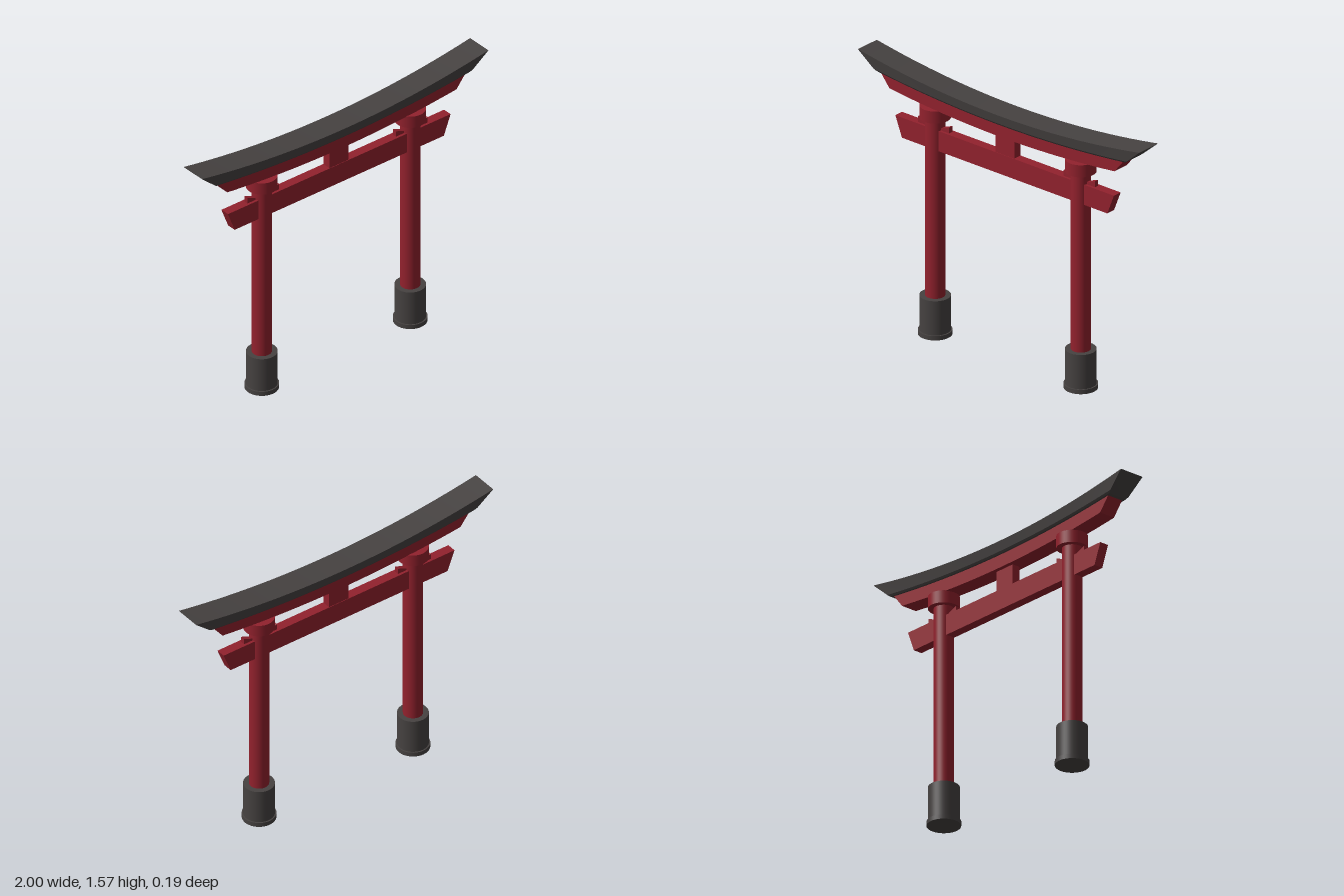
import * as THREE from 'three';
import { toCreasedNormals } from 'three/addons/utils/BufferGeometryUtils.js';

const red = new THREE.MeshStandardMaterial({ color: 0x92212d });
red.name = 'vermilion paint';
const dark = new THREE.MeshStandardMaterial({ color: 0x464241 });
dark.name = 'charcoal paint';

function add(parent, name, geometry, material, x = 0, y = 0, z = 0) {
  const mesh = new THREE.Mesh(geometry, material);
  mesh.name = name;
  mesh.position.set(x, y, z);
  parent.add(mesh);
  return mesh;
}

// Straight prism from an outline in x and y, centred on z = 0
function prism(points, depth) {
  const shape = new THREE.Shape(points.map(([x, y]) => new THREE.Vector2(x, y)));
  const g = new THREE.ExtrudeGeometry(shape, { depth, bevelEnabled: false });
  return g.translate(0, 0, -depth / 2);
}

// Upswept beam: each level [y at middle, rise at ends, half length, half depth], bottom to top
function sweptBeam(levels, segments = 32) {
  const ring = [...levels.map((l) => [l, 1]), ...levels.slice().reverse().map((l) => [l, -1])];
  const n = ring.length;
  const pos = [], idx = [];
  for (let i = 0; i <= segments; i++) {
    const t = (i / segments) * 2 - 1;
    for (const [[y, rise, half, depth], side] of ring) {
      pos.push(t * half, y + rise * t * t, side * depth);
    }
  }
  for (let i = 0; i < segments; i++) {
    for (let j = 0; j < n; j++) {
      const a = i * n + j, b = i * n + ((j + 1) % n);
      idx.push(a, a + n, b, b, a + n, b + n);
    }
  }
  // End caps
  const last = segments * n;
  for (let j = 1; j < n - 1; j++) {
    idx.push(0, j, j + 1, last, last + j + 1, last + j);
  }
  const g = new THREE.BufferGeometry();
  g.setAttribute('position', new THREE.Float32BufferAttribute(pos, 3));
  g.setIndex(idx);
  return toCreasedNormals(g, 0.3);
}

export function createModel() {
  const gate = new THREE.Group();
  gate.name = 'gate';

  // Pillars with stone-coloured sleeves, collars and wedges
  for (const side of [-1, 1]) {
    const pillar = new THREE.Group();
    pillar.name = side > 0 ? 'leftPillar' : 'rightPillar';
    pillar.position.x = side * 0.518;
    gate.add(pillar);
    const round = (name, r, y0, y1, material) =>
      add(pillar, name, new THREE.CylinderGeometry(r, r, y1 - y0, 40), material, 0, (y0 + y1) / 2);
    round('foot', 0.094, 0, 0.026, dark);
    round('sleeve', 0.086, 0.026, 0.23, dark);
    round('shaft', 0.055, 0.23, 1.3, red);
    round('collar', 0.086, 1.29, 1.362, red);
    for (const s of [-1, 1]) {
      const pts = [[0.04, 1.225], [0.111, 1.225], [0.111, 1.265], [0.04, 1.237]].map(([x, y]) => [s * x, y]);
      add(pillar, 'wedge', prism(pts, 0.026), red);
    }
  }

  // Tie beam with slanted ends, and the strut above it
  add(gate, 'tieBeam', prism([[-0.73, 1.11], [0.73, 1.11], [0.777, 1.23], [-0.777, 1.23]], 0.056), red);
  add(gate, 'centreStrut', prism([[-0.066, 1.225], [0.066, 1.225], [0.066, 1.36], [-0.066, 1.36]], 0.05), red);

  // Upswept lintel and roof beam
  add(gate, 'lintel', sweptBeam([[1.345, 0.046, 0.8, 0.05], [1.425, 0.046, 0.865, 0.05]]), red);
  add(gate, 'roofBeam', sweptBeam([
    [1.42, 0.053, 0.885, 0.06],
    [1.43, 0.055, 0.9, 0.067],
    [1.485, 0.088, 1, 0.078],
  ]), dark);

  return gate;
}
